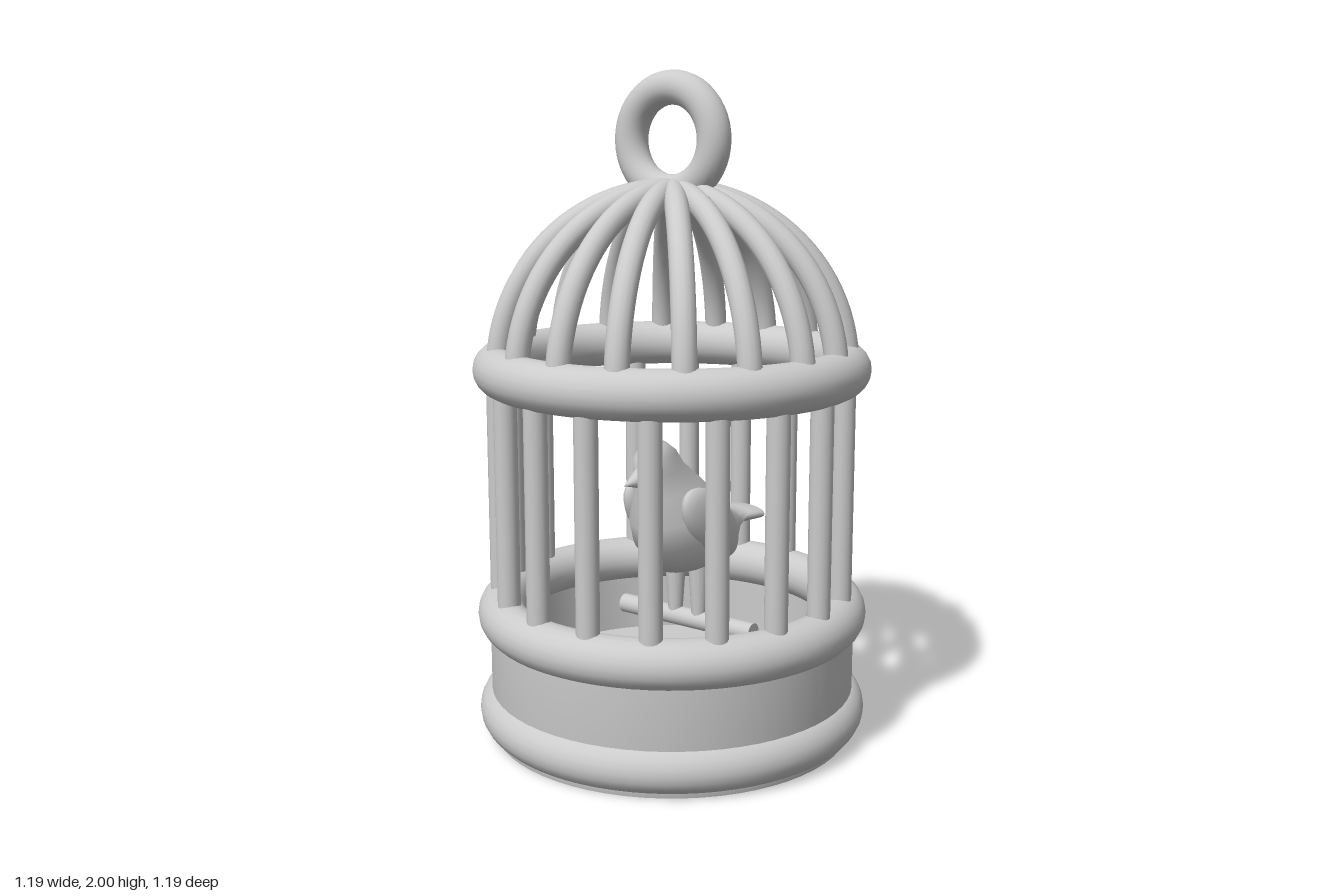
import * as THREE from 'three';
import { toCreasedNormals } from 'three/addons/utils/BufferGeometryUtils.js';

const material = new THREE.MeshStandardMaterial({ color: 0xcccccc });
const RING = 0.525;   // radius of the circle carrying rings, bars and ribs
const COUNT = 18;

function add(parent, name, geometry, x = 0, y = 0, z = 0) {
  const mesh = new THREE.Mesh(geometry, material);
  mesh.name = name;
  mesh.position.set(x, y, z);
  parent.add(mesh);
  return mesh;
}

// Closed skin over elliptical sections [frontZ, frontY, backZ, backY, halfWidth]
function loft(sections, sides) {
  const pos = [], index = [];
  for (const [fz, fy, bz, by, w] of sections) {
    for (let j = 0; j < sides; j++) {
      const t = (j / sides) * Math.PI * 2, c = Math.cos(t) / 2;
      pos.push(w * Math.sin(t), (fy + by) / 2 + c * (fy - by), (fz + bz) / 2 + c * (fz - bz));
    }
  }
  for (let i = 0; i < sections.length - 1; i++) {
    for (let j = 0; j < sides; j++) {
      const k = (j + 1) % sides;
      const a = i * sides + j, b = i * sides + k, c = a + sides, d = b + sides;
      index.push(a, c, b, b, c, d);
    }
  }
  const geometry = new THREE.BufferGeometry();
  geometry.setAttribute('position', new THREE.Float32BufferAttribute(pos, 3));
  geometry.setIndex(index);
  geometry.computeVertexNormals();
  return geometry;
}

function createBird() {
  const bird = new THREE.Group();
  bird.name = 'bird';

  // Head, breast, belly and flared tail in one skin
  add(bird, 'birdBody', loft([
    [0.09, 0.915, 0.09, 0.915, 0],
    [0.13, 0.905, 0.05, 0.908, 0.035],
    [0.163, 0.865, 0.01, 0.88, 0.06],
    [0.165, 0.81, -0.03, 0.835, 0.063],
    [0.148, 0.74, -0.10, 0.78, 0.09],
    [0.147, 0.65, -0.16, 0.725, 0.125],
    [0.115, 0.57, -0.21, 0.68, 0.14],
    [0.03, 0.49, -0.26, 0.645, 0.13],
    [-0.10, 0.465, -0.30, 0.63, 0.10],
    [-0.22, 0.525, -0.33, 0.625, 0.06],
    [-0.30, 0.575, -0.36, 0.622, 0.06],
    [-0.40, 0.572, -0.405, 0.62, 0.08],
    [-0.42, 0.59, -0.42, 0.605, 0.06],
    [-0.42, 0.597, -0.42, 0.597, 0],
  ], 24));

  const beak = add(bird, 'beak', new THREE.ConeGeometry(0.035, 0.09, 12), 0, 0.807, 0.193);
  beak.rotation.x = Math.PI / 2 + 0.1;

  for (const side of [-1, 1]) {
    // Folded wing lying along the back
    const wing = add(bird, 'wing', new THREE.SphereGeometry(1, 20, 14), side * 0.11, 0.645, -0.05);
    wing.scale.set(0.045, 0.085, 0.17);
    wing.rotation.x = -0.7;
    add(bird, 'leg', new THREE.CylinderGeometry(0.035, 0.022, 0.2, 12), side * 0.045, 0.42, -0.08);
  }
  return bird;
}

export function createModel() {
  const cage = new THREE.Group();
  cage.name = 'birdcage';

  // Hollow drum with a floor
  const profile = [
    [0, 0], [0.555, 0], [0.56, 0.02], [0.56, 0.38], [0.49, 0.38], [0.49, 0.14], [0, 0.14],
  ].map(([x, y]) => new THREE.Vector2(x, y));
  add(cage, 'base', toCreasedNormals(new THREE.LatheGeometry(profile, 64), 0.6));

  // Rounded rings at the foot, tray edge and dome edge
  const ringGeometry = new THREE.TorusGeometry(RING, 0.072, 20, 72).rotateX(Math.PI / 2);
  for (const [name, y] of [['footRing', 0.078], ['trayRing', 0.38], ['domeRing', 1.13]]) {
    add(cage, name, ringGeometry, 0, y, 0);
  }

  // Upright bars, with dome ribs set halfway between them
  const barGeometry = new THREE.CylinderGeometry(0.034, 0.034, 0.75, 16, 1, true);
  const ribGeometry = new THREE.TorusGeometry(RING, 0.035, 14, 24, Math.PI / 2);
  for (let i = 0; i < COUNT; i++) {
    const rib = add(cage, 'domeRib', ribGeometry, 0, 1.13, 0);
    const ribAngle = (i / COUNT) * Math.PI * 2;
    rib.rotation.y = ribAngle - Math.PI / 2;
    const a = ribAngle + Math.PI / COUNT;
    add(cage, 'bar', barGeometry, RING * Math.sin(a), 0.755, RING * Math.cos(a));
  }

  add(cage, 'hangingRing', new THREE.TorusGeometry(0.15, 0.05, 20, 48), 0, 1.8, 0);

  // Perch running side to side under the bird
  const perch = add(cage, 'perch', new THREE.CylinderGeometry(0.03, 0.03, 0.5, 16), 0, 0.315, -0.08);
  perch.rotation.z = Math.PI / 2;

  cage.add(createBird());
  return cage;
}
